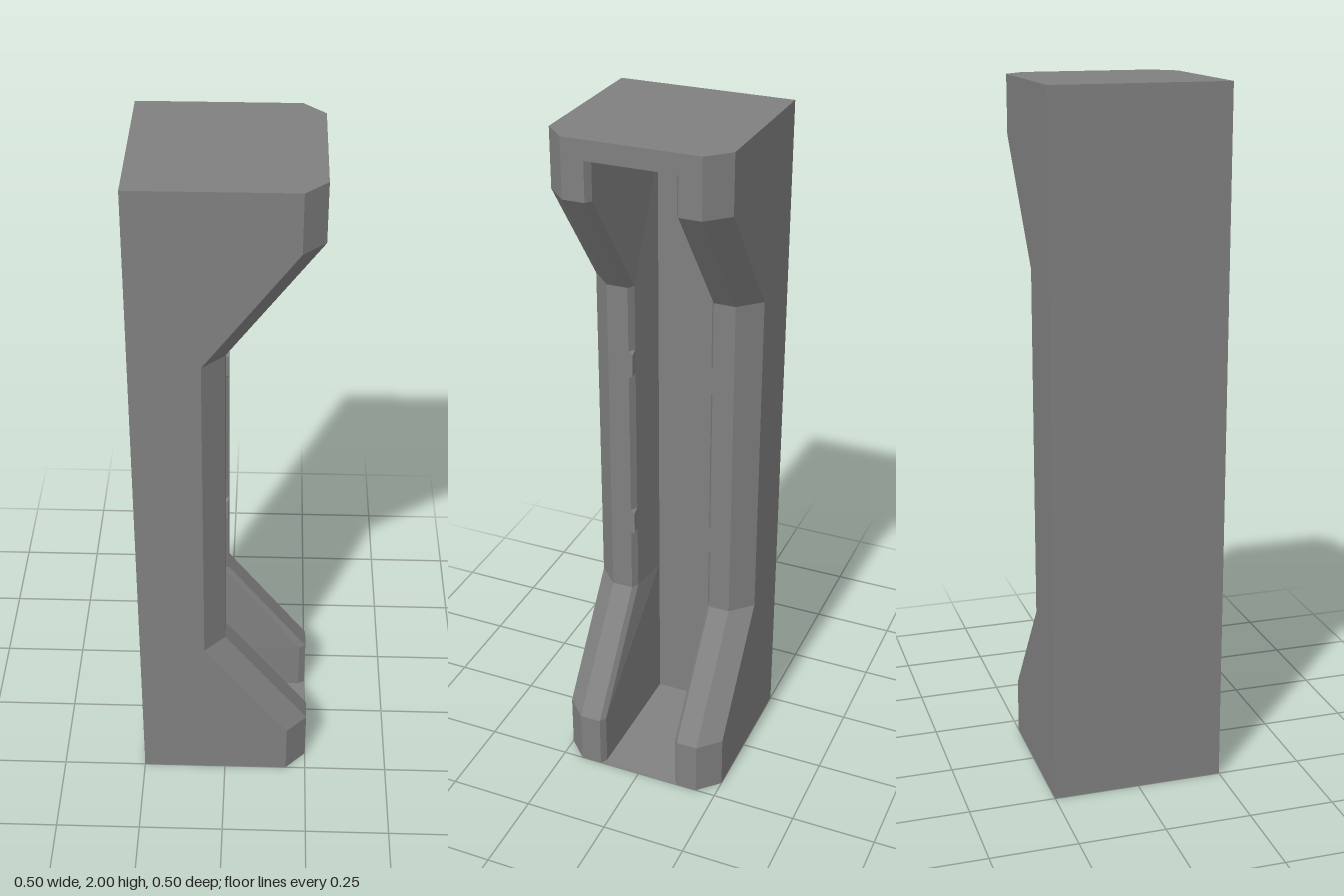
import * as THREE from 'three';

// x of the front surface: narrow waist, flaring out to both ends
const frontX = (y) => 0.25 * THREE.MathUtils.clamp((Math.abs(y - 1) - 0.5) / 0.335, 0, 1);

const OPEN = 0.127, NOTCH = 0.115, TOP = 1.945;

// Heights from bottom to top with the half width of the groove mouth there
const LEVELS = [
  [0, OPEN], [0.165, OPEN], [0.5, OPEN],
  [0.695, OPEN], [0.705, NOTCH], [0.77, NOTCH], [0.78, OPEN],
  [1.22, OPEN], [1.23, NOTCH], [1.295, NOTCH], [1.305, OPEN],
  [1.5, OPEN], [1.835, OPEN], [TOP, OPEN],
];

// Outer cross-section: jamb, chamfer, side, back, and mirrored again
function shellRing([y, edge]) {
  const x = frontX(y);
  const half = [[x, edge], [x, 0.19], [x - 0.06, 0.25], [-0.25, 0.25]];
  const other = half.map(([px, pz]) => [px, -pz]).reverse();
  return [...half, ...other].map(([px, pz]) => [px, y, pz]);
}

// Groove cross-section: bevelled lip, tapering wall, flat back
function grooveRing([y, edge]) {
  const x = frontX(y);
  const backY = THREE.MathUtils.clamp(y, 0.022, 1.915);
  const half = [[x, y, -edge], [x - 0.02, y, -NOTCH], [-0.15, backY, -0.1]];
  const other = half.map(([px, py, pz]) => [px, py, -pz]).reverse();
  return [...half, ...other];
}

function toGeometry(triangles) {
  const geometry = new THREE.BufferGeometry();
  geometry.setAttribute('position', new THREE.Float32BufferAttribute(triangles.flat(2), 3));
  geometry.computeVertexNormals();
  return geometry;
}

// Skin a stack of rings from bottom to top
function loft(rings) {
  const triangles = [];
  for (let r = 0; r < rings.length - 1; r++) {
    const a = rings[r], b = rings[r + 1];
    for (let i = 0; i < a.length - 1; i++) {
      triangles.push([a[i], b[i], a[i + 1]], [b[i], b[i + 1], a[i + 1]]);
    }
  }
  return toGeometry(triangles);
}

function cap(ring) {
  const triangles = [];
  for (let i = 1; i < ring.length - 1; i++) triangles.push([ring[0], ring[i], ring[i + 1]]);
  return toGeometry(triangles);
}

export function createModel() {
  const group = new THREE.Group();
  group.name = 'groovedPillar';
  const grey = new THREE.MeshStandardMaterial({ color: 0x808080, side: THREE.DoubleSide });
  grey.name = 'grey';

  const add = (name, geometry) => {
    const mesh = new THREE.Mesh(geometry, grey);
    mesh.name = name;
    group.add(mesh);
    return mesh;
  };

  // Outer body, open underneath
  const shell = [...LEVELS, [2, OPEN]].map(shellRing);
  add('shell', loft(shell));
  add('topCap', cap([...shell.at(-1)].reverse()));

  // Recessed groove with sloping floor and ceiling
  const groove = LEVELS.map(grooveRing);
  add('grooveLining', loft(groove));
  add('grooveFloor', cap(groove[0]));
  add('grooveCeiling', cap([...groove.at(-1)].reverse()));

  // Strip closing the front above the groove
  const header = add('header', new THREE.PlaneGeometry(2 * OPEN, 2 - TOP).rotateY(Math.PI / 2));
  header.position.set(0.25, (2 + TOP) / 2, 0);

  return group;
}
